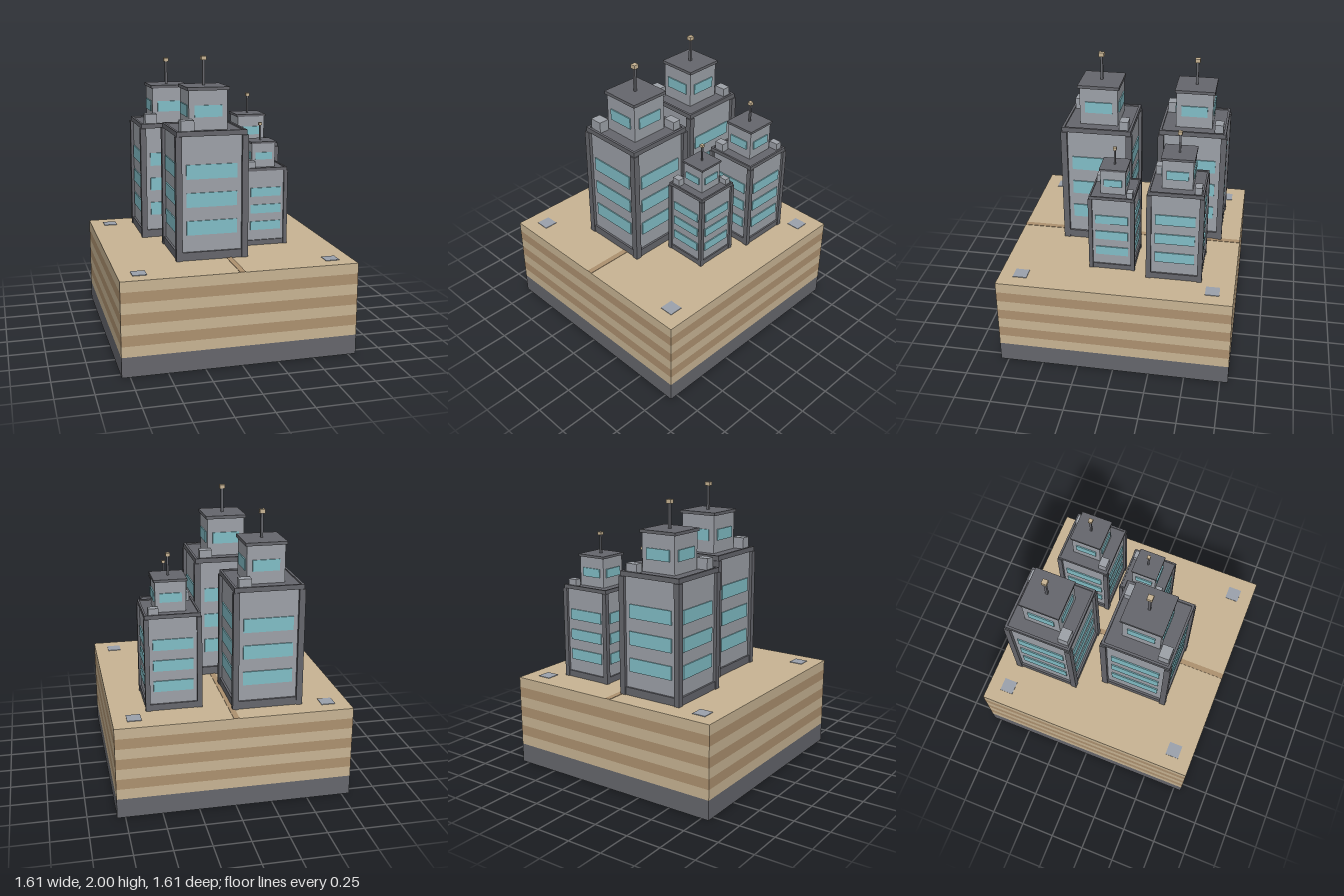
import * as THREE from 'three';

const mat = (name, color) => {
  const m = new THREE.MeshStandardMaterial({ color });
  m.name = name;
  return m;
};

export function createModel() {
  const sand = mat('sand', 0xc9b594);
  const brown = mat('brown earth', 0xae9270);
  const dark = mat('dark grey', 0x66676d);
  const wall = mat('wall grey', 0x9ea2a9);
  const glass = mat('window blue', 0x82bfc8);
  const paving = mat('paving grey', 0x9ca2ad);

  // box with its underside at y
  const box = (parent, name, m, sx, sy, sz, x, y, z) => {
    const mesh = new THREE.Mesh(new THREE.BoxGeometry(sx, sy, sz), m);
    mesh.name = name;
    mesh.position.set(x, y + sy / 2, z);
    parent.add(mesh);
    return mesh;
  };

  // the same thin window plate on all four sides of a square block
  const windowRing = (parent, name, half, width, height, yMid) => {
    const ring = new THREE.Group();
    ring.name = name;
    for (let i = 0; i < 4; i++) {
      const side = new THREE.Group();
      side.rotation.y = i * Math.PI / 2;
      box(side, 'window', glass, width, height, 0.009, 0, yMid - height / 2, half + 0.0035);
      ring.add(side);
    }
    parent.add(ring);
  };

  const model = new THREE.Group();
  model.name = 'cityBlock';

  // layered ground block
  const S = 1.61, footing = 0.137, ground = 0.645;
  box(model, 'footing', dark, S, footing, S, 0, 0, 0);
  const layer = (ground - footing) / 7;
  for (let i = 0; i < 7; i++) {
    box(model, 'earthLayer', i % 2 ? brown : sand, S, layer, S, 0, footing + i * layer, 0);
  }

  // path and corner slabs
  box(model, 'path', brown, 0.038, 0.003, S, 0, ground, 0);
  for (const x of [-0.66, 0.66]) for (const z of [-0.66, 0.66]) {
    box(model, 'cornerSlab', paving, 0.096, 0.004, 0.096, x, ground, z);
  }

  // tower of outer width w and height h, proportions relative to w
  const tower = (name, x, z, w, h) => {
    const t = new THREE.Group();
    t.name = name;
    t.position.set(x, ground, z);

    // walls, plinth and corner pillars
    const capY = h - 0.068 * w;
    box(t, 'walls', wall, 0.91 * w, capY, 0.91 * w, 0, 0, 0);
    box(t, 'plinth', dark, 0.97 * w, 0.113 * w, 0.97 * w, 0, 0, 0);
    for (const sx of [-1, 1]) for (const sz of [-1, 1]) {
      box(t, 'cornerPillar', dark, 0.086 * w, capY, 0.086 * w, sx * 0.457 * w, 0, sz * 0.457 * w);
    }
    for (let i = 0; i < 3; i++) {
      windowRing(t, 'windowRow', 0.455 * w, 0.7 * w, 0.195 * w, h * (0.253 + 0.218 * i));
    }

    // roof slab with a low rim
    const roofY = h - 0.02 * w;
    box(t, 'roof', dark, 0.968 * w, roofY - capY, 0.968 * w, 0, capY, 0);
    for (const s of [-1, 1]) {
      box(t, 'roofRim', dark, 0.968 * w, 0.02 * w, 0.034 * w, 0, roofY, s * 0.467 * w);
      box(t, 'roofRim', dark, 0.034 * w, 0.02 * w, 0.9 * w, s * 0.467 * w, roofY, 0);
    }

    // rooftop units
    box(t, 'roofUnit', wall, 0.175 * w, 0.126 * w, 0.125 * w, 0.325 * w, roofY, -0.375 * w);
    box(t, 'roofUnit', wall, 0.18 * w, 0.16 * w, 0.15 * w, -0.325 * w, roofY, 0.368 * w);

    // upper storey
    const top = h + 0.555 * w;
    box(t, 'upperStorey', wall, 0.535 * w, top - 0.044 * w - roofY, 0.535 * w, 0, roofY, 0);
    windowRing(t, 'upperWindows', 0.2675 * w, 0.38 * w, 0.158 * w, h + 0.235 * w);
    box(t, 'upperRoof', dark, 0.58 * w, 0.044 * w, 0.58 * w, 0, top - 0.044 * w, 0);

    // mast and beacon
    box(t, 'mast', dark, 0.034 * w, 0.34 * w, 0.034 * w, 0, top, 0);
    box(t, 'beacon', sand, 0.074 * w, 0.055 * w, 0.074 * w, 0, top + 0.337 * w, 0);
    model.add(t);
  };

  tower('frontTower', -0.119, 0.226, 0.5, 0.879);
  tower('backTower', -0.244, -0.428, 0.482, 0.845);
  tower('sideTower', 0.376, -0.385, 0.383, 0.667);
  tower('smallTower', 0.342, 0.054, 0.319, 0.561);

  return model;
}
